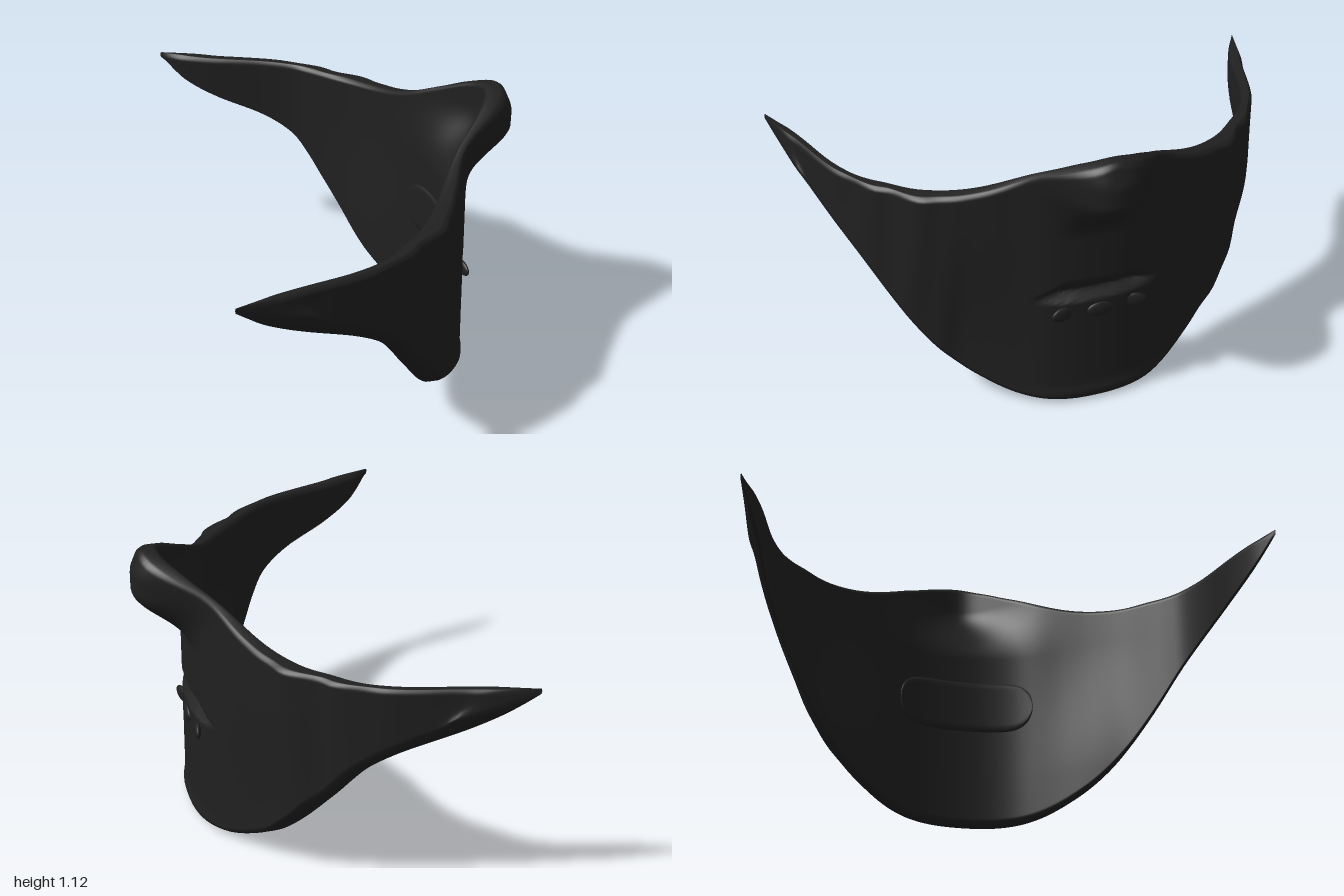
import * as THREE from 'three';

// smooth curve through [|z|, value] pairs, mirrored about z = 0
function profile(pairs) {
  const curve = new THREE.CubicInterpolant(pairs.map(p => p[0]), pairs.map(p => p[1]), 1, [0]);
  curve.settings = { endingStart: THREE.ZeroSlopeEnding, endingEnd: THREE.ZeroCurvatureEnding };
  return z => curve.evaluate(Math.min(1, Math.abs(z)))[0];
}
const smooth = THREE.MathUtils.smoothstep;
const bell = (d, w) => Math.exp(-((d / w) ** 2));

// outline seen from the face side
const topEdge = profile([[0, 1.118], [0.1, 1.09], [0.2, 1.03], [0.3, 0.972], [0.4, 0.932], [0.5, 0.908], [0.6, 0.896], [0.8, 0.893], [1, 0.91]]);
const lowEdge = profile([[0, 0], [0.2, 0.01], [0.3, 0.032], [0.4, 0.08], [0.5, 0.15], [0.6, 0.255], [0.7, 0.4], [0.8, 0.57],
  [0.9, 0.718], [0.95, 0.795], [0.98, 0.85], [1, 0.89]]);
// plan curves of the shell
const outerPlan = profile([[0, 0.415], [0.1, 0.41], [0.2, 0.388], [0.3, 0.345], [0.4, 0.305], [0.5, 0.26], [0.6, 0.21], [0.65, 0.165],
  [0.7, 0.1], [0.75, 0.05], [0.8, -0.02], [0.85, -0.1], [0.89, -0.21], [0.93, -0.345], [0.96, -0.43], [0.98, -0.51], [1, -0.6]]);
const innerPlan = profile([[0, 0.352], [0.1, 0.345], [0.2, 0.322], [0.3, 0.28], [0.4, 0.235], [0.5, 0.18], [0.6, 0.11], [0.7, 0.015],
  [0.75, -0.035], [0.8, -0.1], [0.85, -0.22], [0.9, -0.4], [0.94, -0.51], [0.97, -0.565], [1, -0.61]]);

// the jaw sides lean inwards below the cheeks
const jawLean = (a, y) => 0.033 * bell(a - 0.5, 0.17) * (1 - smooth(y, 0.2, 0.75));

function outerX(z, y) {
  const a = Math.abs(z);
  let x = outerPlan(z) - jawLean(a, y);
  // nose bridge, narrow below and spreading towards the top edge
  const width = 0.12 + 0.06 * smooth(y, 0.8, 1.08);
  x += Math.exp(-((a / width) ** 2.6)) * (0.195 * smooth(y, 0.74, 0.96) - 0.03 * smooth(y, 1.02, 1.12));
  // mouth slit with a raised lower lip
  const side = 1 - smooth(a, 0.12, 0.27);
  const lid = 0.475 + 0.07 * side;
  if (y < lid) x -= 0.05 * side * smooth(y, 0.456, 0.484) * Math.min(1, (lid - y) / (lid - 0.484));
  // chin roll, side folds and cheek tabs
  x += 0.008 * bell(y - 0.04, 0.025) * bell(z, 0.3);
  x += 0.006 * Math.sin(a * 46 + y * 5) * smooth(a, 0.4, 0.65) * (1 - smooth(a, 0.85, 0.97));
  return x + 0.05 * bell(a - 0.94, 0.02) * bell(y - lowEdge(z), 0.05);
}
function innerX(z, y) {
  return innerPlan(z) - jawLean(Math.abs(z), y) + 0.15 * bell(z, 0.2) * smooth(y, 0.72, 1.0);
}

// closed shell between a front and a back surface, with softened rims
function shell(halfWidth, low, high, front, back, cols, rows, rim) {
  const pos = [], index = [], ring = 2 * (rows + 1);
  for (let i = 0; i <= cols; i++) {
    const z = halfWidth * Math.sin((i / cols - 0.5) * Math.PI);
    const lo = low(z), hi = Math.max(high(z), lo + 0.004);
    for (let k = 0; k < ring; k++) {
      const outside = k <= rows;
      const t = (outside ? k : ring - 1 - k) / rows;
      const y = lo + (hi - lo) * (0.6 * t + 0.4 * (0.5 - 0.5 * Math.cos(Math.PI * t)));
      const edge = 1 - Math.min(1, Math.min(y - lo, hi - y) / rim);
      const f = front(z, y), b = back(z, y);
      pos.push(THREE.MathUtils.lerp(outside ? f : b, (f + b) / 2, 0.5 * edge * edge), y, z);
    }
  }
  for (let i = 0; i < cols; i++) {
    for (let k = 0; k < ring; k++) {
      const a = i * ring + k, b = i * ring + (k + 1) % ring;
      index.push(a, b, a + ring, b, b + ring, a + ring);
    }
  }
  const g = new THREE.BufferGeometry();
  g.setAttribute('position', new THREE.Float32BufferAttribute(pos, 3));
  g.setIndex(index);
  g.computeVertexNormals();
  return g;
}

export function createModel() {
  const group = new THREE.Group();
  group.name = 'faceMask';
  const cloth = new THREE.MeshStandardMaterial({ color: 0x202020, side: THREE.DoubleSide });
  cloth.name = 'blackCloth';
  const add = (name, geometry) => {
    const mesh = new THREE.Mesh(geometry, cloth);
    mesh.name = name;
    group.add(mesh);
    return mesh;
  };

  // main curved shell
  add('maskShell', shell(1, lowEdge, topEdge, outerX, innerX, 150, 130, 0.022));

  // rounded pad on the inside, behind the mouth
  const half = z => 0.105 * Math.sqrt(Math.max(0, 1 - (Math.abs(z) / 0.27) ** 7));
  add('innerPad', shell(0.27, z => 0.5 - half(z), z => 0.5 + half(z),
    (z, y) => innerX(z, y) + 0.005, (z, y) => innerX(z, y) - 0.014, 40, 12, 0.015));

  // three oval vents below the slit
  for (const z of [-0.14, 0, 0.14]) {
    const vent = add('vent', new THREE.SphereGeometry(1, 24, 16));
    vent.scale.set(0.013, 0.03, 0.052);
    vent.position.set(outerX(z, 0.41), 0.41, z);
    vent.rotation.y = z * 1.6;
  }
  return group;
}
